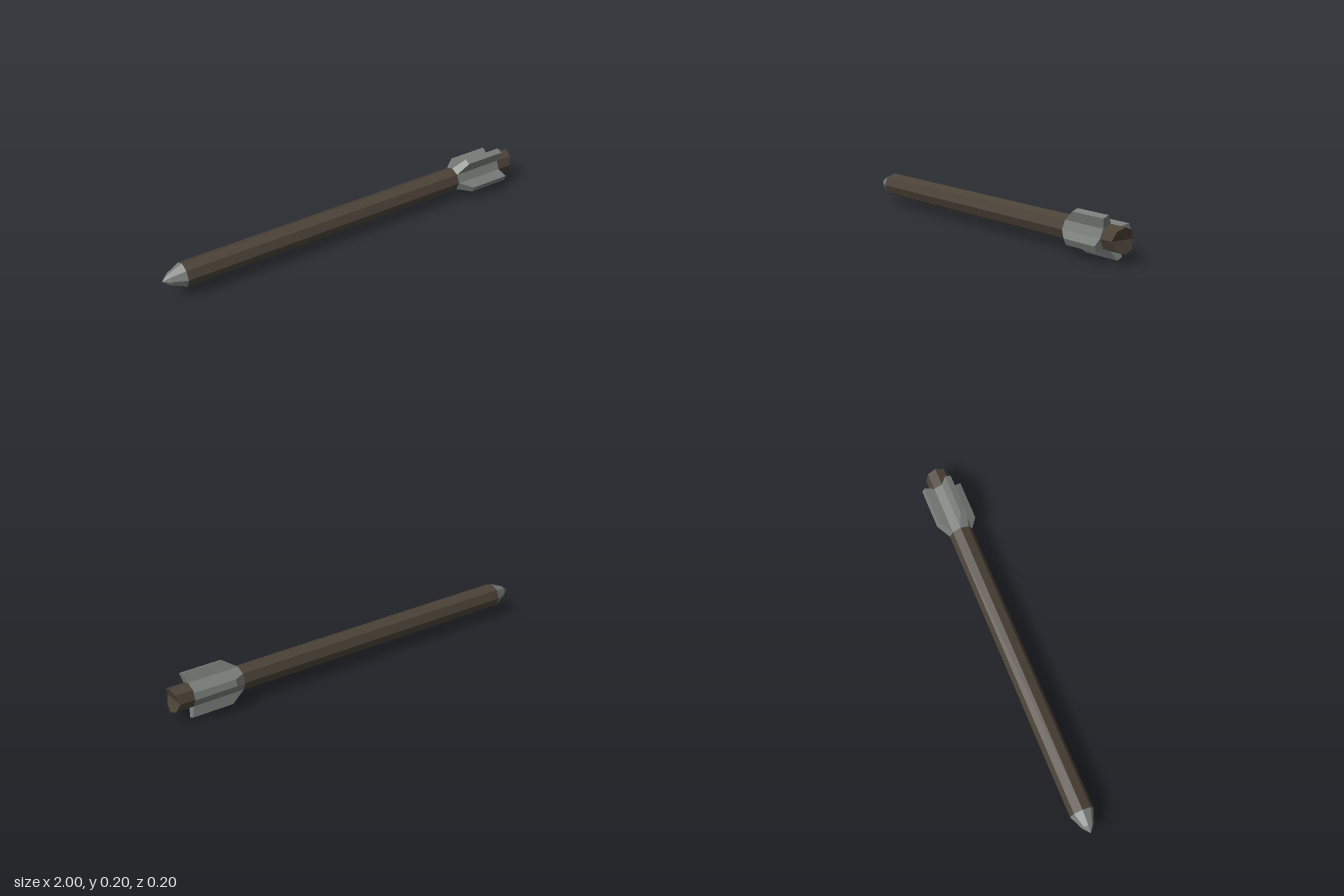
import * as THREE from 'three';

const R = 0.0595;          // shaft radius at the octagon corners
const AXIS_Y = 0.1025;     // height of the shaft axis

const wood = new THREE.MeshStandardMaterial({ color: 0x4b4237, flatShading: true });
wood.name = 'dark wood';
const metal = new THREE.MeshStandardMaterial({ color: 0x777c78, flatShading: true });
metal.name = 'grey metal';

// Eight-sided section along x from [x, radius] pairs
function octagon(name, profile, material) {
  const points = profile.map(([x, r]) => new THREE.Vector2(r, x));
  const geometry = new THREE.LatheGeometry(points, 8).rotateZ(-Math.PI / 2);
  const mesh = new THREE.Mesh(geometry, material);
  mesh.name = name;
  return mesh;
}

// Tapered fin: a box whose corners move to a swept, narrowing outline
function finGeometry() {
  const geometry = new THREE.BoxGeometry(1, 1, 1);
  const p = geometry.attributes.position;
  for (let i = 0; i < p.count; i++) {
    const outer = p.getY(i) > 0;
    const rear = p.getX(i) > 0;
    const x = rear ? (outer ? 0.92 : 0.905) : (outer ? 0.71 : 0.645);
    const halfWidth = outer ? 0.016 : R * Math.sin(Math.PI / 8);
    const y = outer ? 0.104 : R * Math.cos(Math.PI / 8);
    p.setXYZ(i, x, y, Math.sign(p.getZ(i)) * halfWidth);
  }
  geometry.computeVertexNormals();
  return geometry;
}

export function createModel() {
  const model = new THREE.Group();
  model.name = 'bolt';
  model.position.y = AXIS_Y;

  model.add(octagon('tip', [[-1, 0], [-0.965, 0.029], [-0.895, R]], metal));
  model.add(octagon('shaft', [[-0.895, R], [0.645, R]], wood));
  model.add(octagon('collar', [[0.645, R], [0.905, R]], metal));

  // Nock: the rear end is cut to a V groove running along z
  const nock = octagon('nock', [[0.905, R], [1, R], [1, 0]], wood);
  const p = nock.geometry.attributes.position;
  for (let i = 0; i < p.count; i++) {
    if (p.getX(i) > 0.99) p.setX(i, 0.98 + 0.02 * Math.abs(p.getY(i)) / R);
  }
  nock.geometry.computeVertexNormals();
  model.add(nock);

  // Four fins on every other face of the octagon
  const fin = finGeometry();
  for (let k = 0; k < 4; k++) {
    const mesh = new THREE.Mesh(fin, metal);
    mesh.name = 'fin' + (k + 1);
    mesh.rotation.x = Math.PI / 8 + k * Math.PI / 2;
    model.add(mesh);
  }

  const root = new THREE.Group();
  root.name = 'boltModel';
  root.add(model);
  return root;
}
